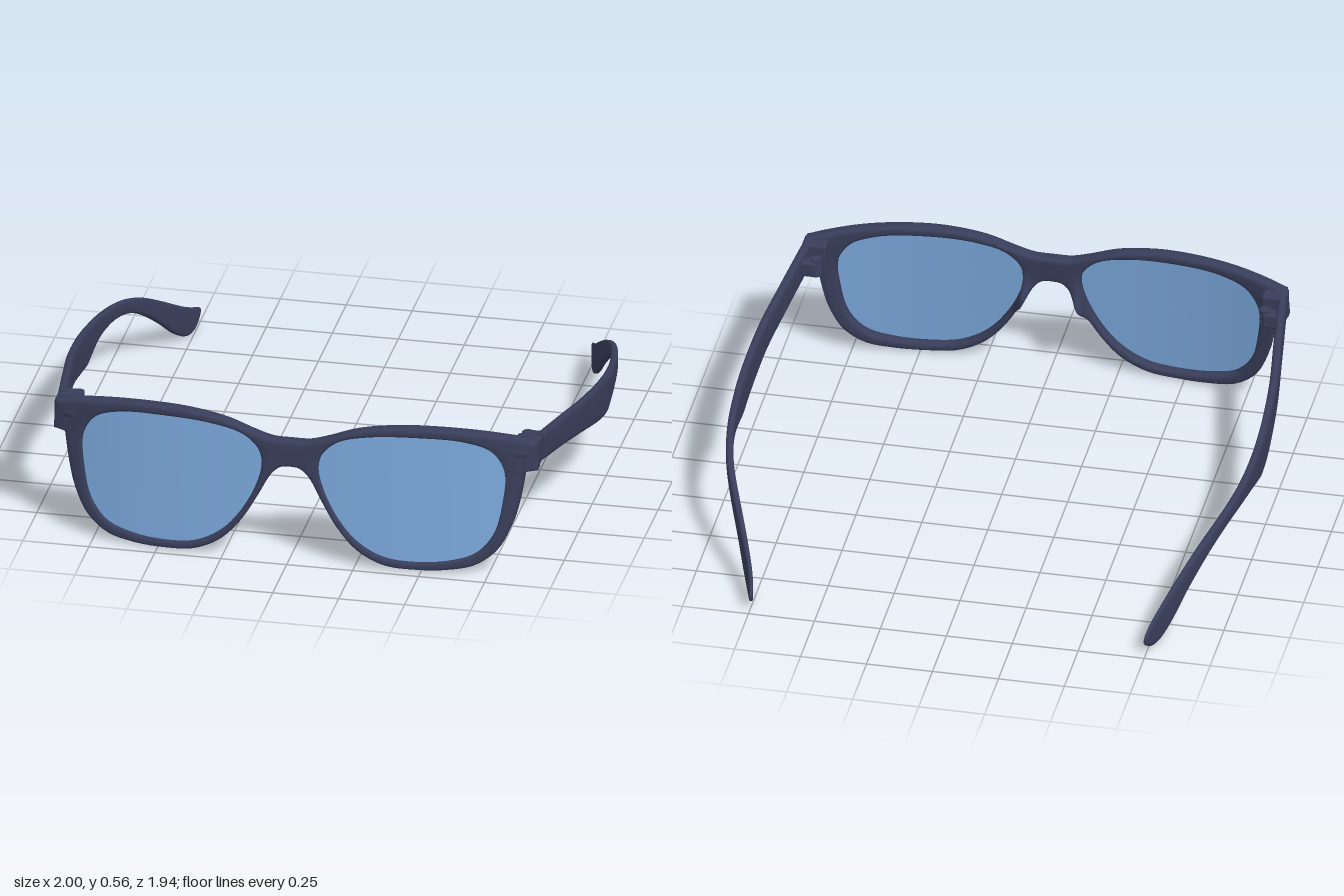
import * as THREE from 'three';
import { toCreasedNormals } from 'three/addons/utils/BufferGeometryUtils.js';
import { RoundedBoxGeometry } from 'three/addons/geometries/RoundedBoxGeometry.js';

const frameMat = new THREE.MeshStandardMaterial({ color: 0x383e5a });
frameMat.name = 'navy frame';
const lensMat = new THREE.MeshStandardMaterial({ color: 0x7ba8dc, side: THREE.DoubleSide });
lensMat.name = 'blue lens';

// Front surface of the wrapped, slightly tilted frame
const frontZ = (x, y) => 0.977 - 0.135 * Math.abs(x) ** 3 - 0.07 * y;
// Frame thickness, swelling backward into the nose pads
const thickness = (x, y) =>
  0.056 + 0.06 * Math.exp(-(((x - 0.1) / 0.03) ** 2) - ((y - 0.27) / 0.08) ** 2);

const smooth = (pts, n, closed = false) =>
  new THREE.CatmullRomCurve3(pts.map(([x, y]) => new THREE.Vector3(x, y, 0)), closed, 'centripetal')
    .getPoints(n).map(p => new THREE.Vector2(p.x, p.y));

// Left-side contours; the other side is mirrored
const upperEdge = [[0, 0.475], [0.07, 0.477], [0.14, 0.497], [0.25, 0.535], [0.4, 0.558], [0.55, 0.56],
  [0.7, 0.549], [0.82, 0.53], [0.912, 0.51]];
const lowerEdge = [[0.872, 0.395], [0.855, 0.29], [0.83, 0.19], [0.78, 0.092], [0.7, 0.03], [0.6, 0.008],
  [0.48, 0.003], [0.36, 0.014], [0.26, 0.063], [0.18, 0.15], [0.12, 0.25], [0.07, 0.34], [0.035, 0.37], [0, 0.375]];
const lensEdge = [[0.122, 0.435], [0.18, 0.487], [0.3, 0.517], [0.48, 0.526], [0.65, 0.515], [0.75, 0.478],
  [0.798, 0.4], [0.793, 0.27], [0.762, 0.15], [0.7, 0.076], [0.6, 0.042], [0.46, 0.032], [0.35, 0.047],
  [0.25, 0.105], [0.17, 0.205], [0.118, 0.32], [0.108, 0.385]];

function indexedGeometry(pos, idx) {
  const geo = new THREE.BufferGeometry();
  geo.setAttribute('position', new THREE.Float32BufferAttribute(pos, 3));
  geo.setIndex(idx);
  return geo;
}

// Half frame: a bevelled section swept round the rim, from the outer edge to the nearest lens edge
function rimGeometry(s) {
  const B = 0.01, C = 0.003;
  const line = (x0, y0, x1, y1, n) => Array.from({ length: n - 1 }, (_, i) =>
    new THREE.Vector2(x0 + (x1 - x0) * (i + 1) / n, y0 + (y1 - y0) * (i + 1) / n));
  const outer = [
    ...smooth(upperEdge, 64),
    ...line(0.912, 0.51, 0.918, 0.4, 8), new THREE.Vector2(0.918, 0.4),
    ...line(0.918, 0.4, 0.872, 0.395, 4),
    ...smooth(lowerEdge, 90),
    ...line(0, 0.375, 0, 0.475, 8),
  ];
  const hole = smooth(lensEdge, 600, true);
  const n = outer.length, pos = [], idx = [];
  outer.forEach((p, i) => {
    const q = hole.reduce((a, b) => (b.distanceToSquared(p) < a.distanceToSquared(p) ? b : a));
    const d = q.clone().sub(p).normalize();
    // Inward direction of the outer bevel; none along the joint of the two halves
    const prev = outer[(i + n - 1) % n], next = outer[(i + 1) % n];
    const e = new THREE.Vector2(next.y - prev.y, prev.x - next.x).normalize();
    if (p.x < 1e-6) e.set(0, p.y > 0.474 ? -1 : p.y < 0.376 ? 1 : 0);
    const fromOuter = k => p.clone().addScaledVector(e, k);
    const fromInner = k => q.clone().addScaledVector(d, -k);
    const across = t => fromOuter(B).lerp(fromInner(B), t);
    const face = [fromOuter(0), fromOuter(C), across(0), across(1 / 3), across(2 / 3), across(1), fromInner(C), fromInner(0)];
    const depth = [B, C, 0, 0, 0, 0, C, B];
    face.forEach((v, k) => pos.push(s * v.x, v.y, frontZ(v.x, v.y) - depth[k]));
    for (let k = face.length - 1; k >= 0; k--) {
      const v = face[k];
      pos.push(s * v.x, v.y, frontZ(v.x, v.y) - thickness(v.x, v.y) + depth[k]);
    }
  });
  const m = 16;
  for (let i = 0; i < n; i++) for (let k = 0; k < m; k++) {
    const i2 = (i + 1) % n, k2 = (k + 1) % m;
    const a = i * m + k, b = i * m + k2, c = i2 * m + k, d = i2 * m + k2;
    if (s > 0) idx.push(a, b, c, b, d, c);
    else idx.push(a, c, b, b, c, d);
  }
  return toCreasedNormals(indexedGeometry(pos, idx), 0.9);
}

// Curved lens as rings shrinking toward its middle
function lensGeometry(s) {
  const edge = smooth(lensEdge, 72, true).slice(0, -1);
  const n = edge.length, rings = 8, pos = [], idx = [];
  for (let r = 0; r <= rings; r++) {
    const k = 1.012 * (1 - r / rings);
    for (const e of edge) {
      const x = 0.46 + (e.x - 0.46) * k, y = 0.29 + (e.y - 0.29) * k;
      pos.push(s * x, y, frontZ(x, y) - 0.016);
    }
  }
  for (let r = 0; r < rings; r++) for (let j = 0; j < n; j++) {
    const a = r * n + j, b = r * n + (j + 1) % n, c = a + n, d = b + n;
    if (s > 0) idx.push(a, c, b, b, c, d);
    else idx.push(a, b, c, b, d, c);
  }
  const geo = indexedGeometry(pos, idx);
  geo.computeVertexNormals();
  return geo;
}

// Temple stations: z, top, bottom, outer x, thickness
const stations = [
  [0.748, 0.51, 0.4, 0.922, 0.034], [0.5, 0.475, 0.358, 0.957, 0.034], [0.3, 0.445, 0.318, 0.984, 0.033],
  [0.1, 0.412, 0.267, 0.998, 0.032], [-0.03, 0.39, 0.242, 1.0, 0.031], [-0.1, 0.377, 0.25, 0.998, 0.03],
  [-0.2, 0.361, 0.269, 0.992, 0.029], [-0.3, 0.345, 0.275, 0.98, 0.028], [-0.4, 0.328, 0.27, 0.961, 0.028],
  [-0.5, 0.305, 0.247, 0.934, 0.028], [-0.6, 0.268, 0.196, 0.897, 0.028], [-0.7, 0.213, 0.118, 0.853, 0.026],
  [-0.78, 0.165, 0.046, 0.818, 0.024], [-0.85, 0.125, 0.004, 0.789, 0.021], [-0.91, 0.097, 0.003, 0.769, 0.018],
  [-0.955, 0.079, 0.027, 0.757, 0.013], [-0.975, 0.065, 0.046, 0.751, 0.008],
];

function templeGeometry(s) {
  const curve = cols => new THREE.CatmullRomCurve3(
    stations.map(r => new THREE.Vector3(...cols.map(c => r[c]))), false, 'catmullrom');
  const sideCurve = curve([0, 1, 2]), planCurve = curve([0, 3, 4]);
  const steps = 64, n = 24, pos = [], idx = [];
  const round = v => Math.sign(v) * Math.abs(v) ** 0.45;
  for (let i = 0; i <= steps; i++) {
    const a = sideCurve.getPoint(i / steps), b = planCurve.getPoint(i / steps);
    for (let j = 0; j < n; j++) {
      const t = j / n * Math.PI * 2;
      pos.push(s * (b.y - b.z / 2) + b.z / 2 * round(Math.cos(t)),
        (a.y + a.z) / 2 + (a.y - a.z) / 2 * round(Math.sin(t)), a.x);
    }
  }
  for (let i = 0; i < steps; i++) for (let j = 0; j < n; j++) {
    const a = i * n + j, b = i * n + (j + 1) % n, c = a + n, d = b + n;
    idx.push(a, c, b, b, c, d);
  }
  const last = steps * n;
  for (let j = 1; j < n - 1; j++) idx.push(0, j, j + 1, last, last + j + 1, last + j);
  return toCreasedNormals(indexedGeometry(pos, idx), 0.7);
}

export function createModel() {
  const model = new THREE.Group();
  model.name = 'sunglasses';
  const add = (name, geo, mat, x = 0, y = 0, z = 0) => {
    const m = new THREE.Mesh(geo, mat);
    m.name = name;
    m.position.set(x, y, z);
    model.add(m);
    return m;
  };

  for (const [s, side] of [[1, 'left'], [-1, 'right']]) {
    add(side + 'Rim', rimGeometry(s), frameMat);
    add(side + 'Lens', lensGeometry(s), lensMat);
    add(side + 'Temple', templeGeometry(s), frameMat);

    // Corner block behind the frame, carrying the hinge
    add(side + 'EndPiece', new RoundedBoxGeometry(0.092, 0.11, 0.078, 2, 0.01), frameMat, s * 0.872, 0.455, 0.79);

    // Hinge: stacked knuckles, a leaf on the temple and a tongue on the block
    for (const y of [0.43, 0.455, 0.48]) {
      add(side + 'HingeKnuckle', new THREE.CylinderGeometry(0.022, 0.022, 0.02, 20), frameMat, s * 0.852, y, 0.7);
    }
    add(side + 'HingeLeaf', new RoundedBoxGeometry(0.06, 0.06, 0.05, 2, 0.01), frameMat, s * 0.876, 0.455, 0.69);
    add(side + 'HingeTongue', new THREE.BoxGeometry(0.03, 0.02, 0.07), frameMat, s * 0.852, 0.455, 0.735);

    // Oval rivet on the front corner
    const rivet = add(side + 'Rivet', new THREE.SphereGeometry(1, 24, 12), frameMat,
      s * 0.858, 0.47, frontZ(0.858, 0.47));
    rivet.scale.set(0.029, 0.013, 0.004);
    rivet.rotation.y = s * 0.29;
  }
  return model;
}
